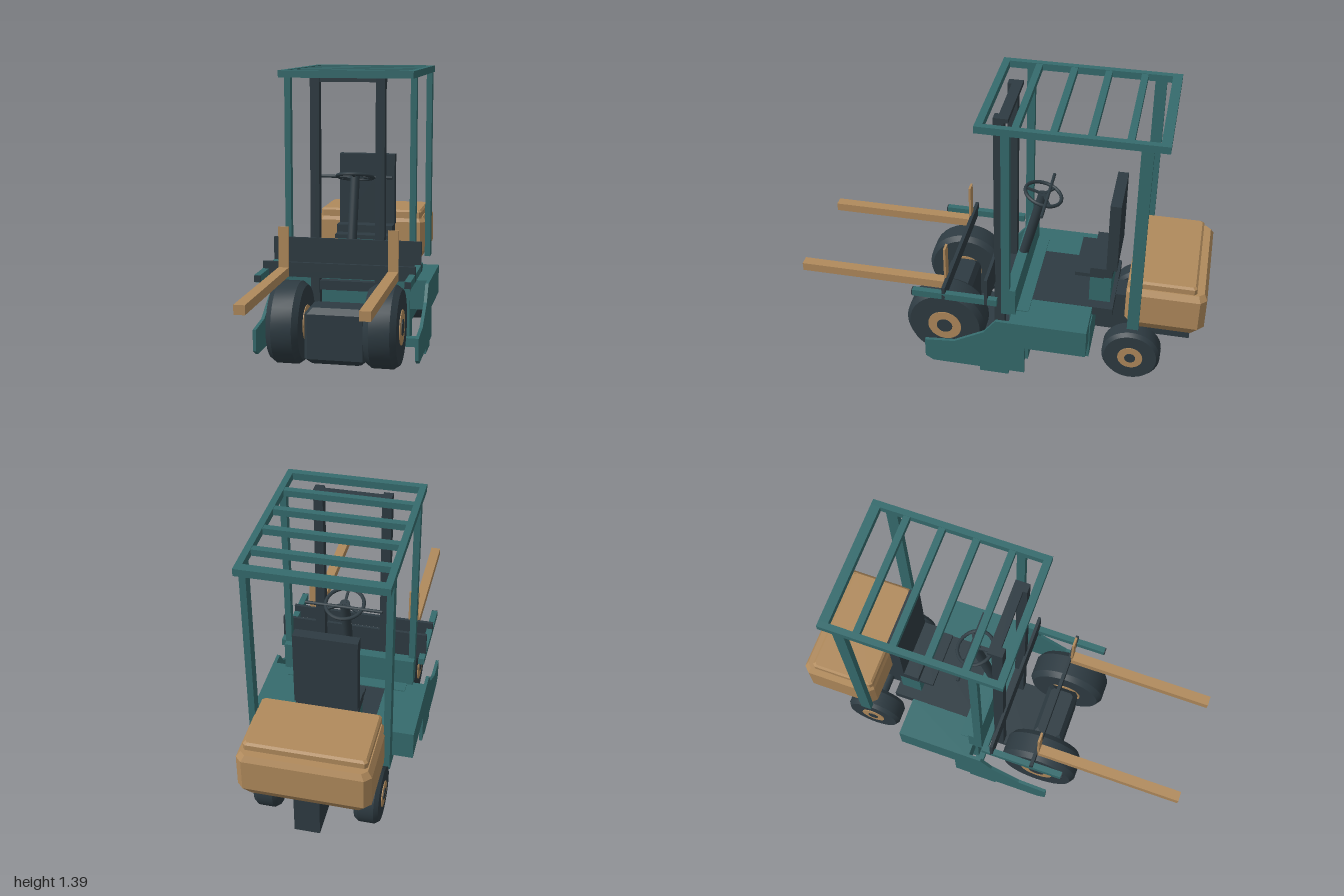
import * as THREE from 'three';
import { toCreasedNormals } from 'three/addons/utils/BufferGeometryUtils.js';

const mat = (name, color) => {
  const m = new THREE.MeshStandardMaterial({ color });
  m.name = name;
  return m;
};

export function createModel() {
  const model = new THREE.Group();
  model.name = 'forklift';
  const teal = mat('teal paint', 0x356b6d);
  const dark = mat('dark slate', 0x2e3b42);
  const tan = mat('tan', 0xb08a5c);

  const add = (name, geo, material, parent = model) => {
    const mesh = new THREE.Mesh(geo, material);
    mesh.name = name;
    parent.add(mesh);
    return mesh;
  };
  // Box given by its limits on each axis
  const box = (name, material, x0, x1, y0, y1, z0, z1) => {
    const g = new THREE.BoxGeometry(x1 - x0, y1 - y0, z1 - z0);
    g.translate((x0 + x1) / 2, (y0 + y1) / 2, (z0 + z1) / 2);
    return add(name, g, material);
  };
  const wide = (name, material, hx, ...rest) => box(name, material, -hx, hx, ...rest);
  const pair = (name, material, x0, x1, ...rest) => {
    box(name + 'Left', material, x0, x1, ...rest);
    box(name + 'Right', material, -x1, -x0, ...rest);
  };
  // Stacked rectangles with cut corners: [y, half width, z back, z front, cut]
  const loft = (sections) => {
    const pos = [];
    const rings = sections.map(([y, h, a, b, c]) => [
      [h, y, a + c], [h, y, b - c], [h - c, y, b], [c - h, y, b],
      [-h, y, b - c], [-h, y, a + c], [c - h, y, a], [h - c, y, a]]);
    const tri = (...p) => p.forEach((v) => pos.push(...v));
    for (let i = 0; i < rings.length - 1; i++) {
      for (let k = 0; k < 8; k++) {
        const j = (k + 1) % 8, A = rings[i], B = rings[i + 1];
        tri(A[k], B[k], B[j]);
        tri(A[k], B[j], A[j]);
      }
    }
    const lo = rings[0], hi = rings[rings.length - 1];
    for (let k = 1; k < 7; k++) {
      tri(lo[0], lo[k], lo[k + 1]);
      tri(hi[0], hi[k + 1], hi[k]);
    }
    // Ring order runs clockwise from above, so reverse every triangle for outward faces
    for (let i = 0; i < pos.length; i += 9) {
      for (let n = 0; n < 3; n++) [pos[i + 3 + n], pos[i + 6 + n]] = [pos[i + 6 + n], pos[i + 3 + n]];
    }
    const g = new THREE.BufferGeometry();
    g.setAttribute('position', new THREE.Float32BufferAttribute(pos, 3));
    // Signed volume decides the final winding
    let vol = 0;
    const v = [0, 1, 2].map(() => new THREE.Vector3());
    const mid = new THREE.Vector3(0, (sections[0][0] + hi[0][1]) / 2, (sections[0][2] + sections[0][3]) / 2);
    for (let i = 0; i < pos.length / 3; i += 3) {
      v.forEach((p, n) => p.fromBufferAttribute(g.attributes.position, i + n).sub(mid));
      vol += v[0].dot(v[1].clone().cross(v[2]));
    }
    if (vol < 0) {
      const p = g.attributes.position.array;
      for (let i = 0; i < p.length; i += 9) {
        for (let n = 0; n < 3; n++) [p[i + 3 + n], p[i + 6 + n]] = [p[i + 6 + n], p[i + 3 + n]];
      }
    }
    g.computeVertexNormals();
    return g;
  };
  const rod = (name, material, r, a, b) => {
    const A = new THREE.Vector3(...a), B = new THREE.Vector3(...b);
    const mesh = add(name, new THREE.CylinderGeometry(r, r, A.distanceTo(B), 16), material);
    mesh.position.copy(A).add(B).multiplyScalar(0.5);
    mesh.quaternion.setFromUnitVectors(new THREE.Vector3(0, 1, 0), B.sub(A).normalize());
    return mesh;
  };

  // Overhead guard
  pair('roofSideRail', teal, 0.30, 0.33, 1.365, 1.4, -0.765, 0.095);
  wide('roofFrontRail', teal, 0.30, 1.365, 1.4, 0.06, 0.095);
  wide('roofRearRail', teal, 0.30, 1.365, 1.4, -0.765, -0.72);
  [-0.59, -0.42, -0.255, -0.085].forEach((z) => wide('roofBar', teal, 0.30, 1.367, 1.398, z - 0.016, z + 0.016));
  pair('frontPost', teal, 0.30, 0.33, 0.35, 1.365, -0.065, -0.025);
  pair('rearPost', teal, 0.30, 0.33, 0.36, 1.365, -0.695, -0.64);

  // Mast
  pair('mastRail', dark, 0.14, 0.185, 0.03, 1.365, -0.01, 0.04);
  wide('mastTopBar', dark, 0.185, 1.343, 1.365, -0.03, 0.02);
  wide('mastMiddleBar', dark, 0.14, 0.31, 0.357, -0.01, 0.03);
  wide('mastBase', dark, 0.185, 0.02, 0.045, -0.075, 0.2);

  // Carriage and forks
  wide('carriagePanel', dark, 0.37, 0.425, 0.575, 0.035, 0.05);
  wide('forkBar', dark, 0.37, 0.425, 0.495, 0.245, 0.262);
  pair('carriageArm', teal, 0.34, 0.37, 0.425, 0.46, -0.01, 0.41);
  pair('armCap', dark, 0.34, 0.37, 0.427, 0.458, 0.41, 0.415);
  pair('fork', tan, 0.24, 0.29, 0.427, 0.47, 0.25, 1.0);
  pair('forkUpright', tan, 0.24, 0.29, 0.427, 0.667, 0.257, 0.268);

  // Body: side steps, hull, floor and front wall
  pair('sideStep', teal, 0.2, 0.4, 0.205, 0.355, -0.455, -0.075);
  wide('lowerHull', teal, 0.29, 0.11, 0.31, -0.46, -0.155);
  wide('bulkhead', teal, 0.30, 0.045, 0.36, -0.155, -0.06);
  wide('frontWall', teal, 0.33, 0.35, 0.5, -0.095, -0.045);
  wide('sill', teal, 0.39, 0.02, 0.065, -0.075, -0.03);
  wide('floor', dark, 0.2, 0.31, 0.356, -0.555, -0.09);
  wide('rearChassis', dark, 0.06, 0.115, 0.342, -0.94, -0.46);

  // Side guard plates; the shape is drawn in (-z, y) and turned to face sideways
  const plate = new THREE.Shape([[-0.35, 0.175], [-0.35, 0.07], [-0.31, 0.045], [-0.07, 0.045], [-0.07, 0.02],
    [0.075, 0.02], [0.075, 0.045], [0.155, 0.045], [0.155, 0.355], [0.01, 0.355], [-0.05, 0.275], [-0.2, 0.19]]
    .map(([a, b]) => new THREE.Vector2(a, b)));
  for (const x of [0.384, -0.4]) {
    const g = new THREE.ExtrudeGeometry(plate, { depth: 0.016, bevelEnabled: false });
    g.rotateY(Math.PI / 2).translate(x, 0, 0);
    add('sideGuard', g, teal);
  }

  // Seat
  wide('seatPedestal', teal, 0.145, 0.355, 0.51, -0.535, -0.43);
  wide('seatPan', dark, 0.145, 0.5, 0.52, -0.5, -0.355);
  wide('seatCushion', dark, 0.15, 0.51, 0.56, -0.54, -0.43);
  wide('seatBack', dark, 0.15, 0.555, 0.935, -0.56, -0.508);

  // Steering
  rod('steeringColumn', dark, 0.024, [0, 0.42, -0.055], [0, 0.86, -0.167]);
  const steering = new THREE.Group();
  steering.name = 'steeringWheel';
  steering.position.set(0, 0.857, -0.167);
  steering.rotation.x = -0.29;
  model.add(steering);
  add('rim', new THREE.TorusGeometry(0.092, 0.009, 8, 28).rotateX(Math.PI / 2), dark, steering);
  for (let i = 0; i < 3; i++) {
    const spoke = new THREE.BoxGeometry(0.012, 0.01, 0.09).translate(0, 0, 0.045);
    add('spoke', spoke.rotateY(i * Math.PI * 2 / 3), dark, steering);
  }
  rod('controlBar', dark, 0.008, [-0.187, 0.853, -0.19], [0.187, 0.853, -0.19]);

  // Wheels
  const wheel = (name, x, y, z, r, w, hubR, capR) => {
    const g = new THREE.Group();
    g.name = name;
    g.position.set(x, y, z);
    g.rotation.z = -Math.PI / 2;
    model.add(g);
    const h = w / 2, c = r * 0.1;
    const profile = [[0, -h], [r - c, -h], [r, c * 1.4 - h], [r, h - c * 1.4], [r - c, h], [0, h]]
      .map(([a, b]) => new THREE.Vector2(a, b));
    add('tire', toCreasedNormals(new THREE.LatheGeometry(profile, 32), 0.4), dark, g);
    add('hub', new THREE.CylinderGeometry(hubR, hubR, w + 0.008, 24), tan, g);
    add('hubCap', new THREE.CylinderGeometry(capR, capR, w + 0.014, 16), dark, g);
  };
  for (const s of [1, -1]) {
    wheel('frontWheel', s * 0.231, 0.205, 0.27, 0.2, 0.155, 0.085, 0.04);
    wheel('rearWheel', s * 0.242, 0.15, -0.665, 0.144, 0.115, 0.062, 0.027);
  }
  rod('rearAxle', dark, 0.027, [-0.2, 0.15, -0.665], [0.2, 0.15, -0.665]);

  // Drive housing between the front wheels
  add('driveHousing', loft([[0.02, 0.125, 0.205, 0.325, 0.015], [0.045, 0.15, 0.185, 0.345, 0.015],
    [0.265, 0.15, 0.185, 0.345, 0.015], [0.295, 0.125, 0.205, 0.325, 0.015]]), dark);

  // Counterweight with raised lid
  add('counterweight', loft([[0.335, 0.27, -0.965, -0.645, 0.025], [0.39, 0.305, -1.0, -0.62, 0.03],
    [0.55, 0.305, -1.0, -0.62, 0.03], [0.578, 0.285, -0.985, -0.635, 0.025]]), tan);
  add('counterweightLid', loft([[0.57, 0.28, -0.95, -0.628, 0.012], [0.605, 0.28, -0.95, -0.628, 0.012],
    [0.615, 0.27, -0.94, -0.638, 0.012]]), tan);

  return model;
}
